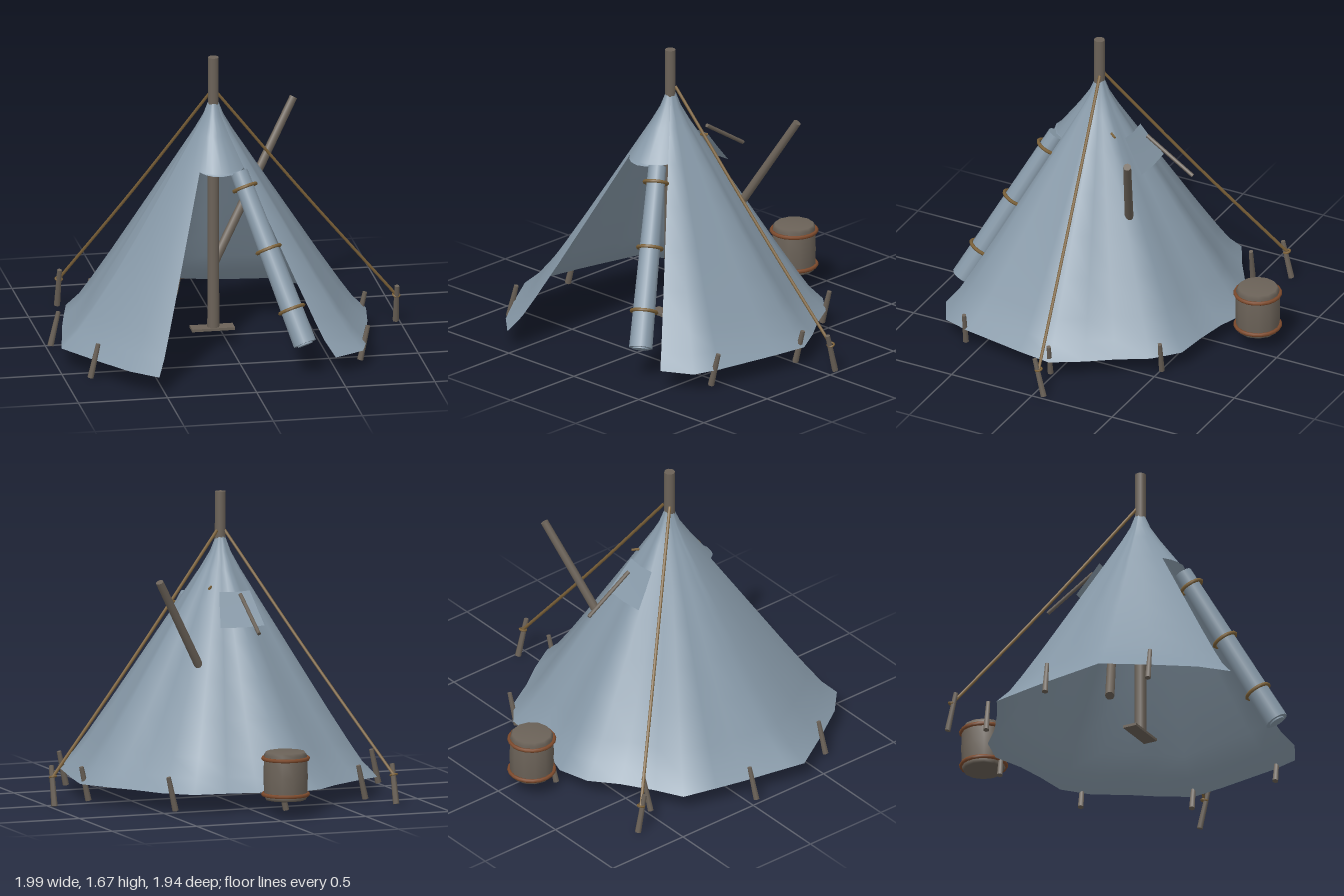
import * as THREE from 'three';

const mat = (name, color, side = THREE.FrontSide) => {
  const m = new THREE.MeshStandardMaterial({ color, side });
  m.name = name;
  return m;
};

export function createModel() {
  const root = new THREE.Group();
  root.name = 'tent';
  const canvas = mat('blue grey canvas', 0x8799a8, THREE.DoubleSide);
  const wood = mat('weathered wood', 0x6b6258);
  const rope = mat('rope', 0x7d6239);
  const rust = mat('rusty hoop', 0x7d4a2c);
  const V = (p) => new THREE.Vector3(...p);
  const UP = new THREE.Vector3(0, 1, 0);

  const add = (name, geo, material, parent = root) => {
    const m = new THREE.Mesh(geo, material);
    m.name = name;
    parent.add(m);
    return m;
  };
  // Round bar from a to b
  const bar = (name, a, b, ra, rb, material, sides = 8) => {
    const A = V(a), B = V(b), d = B.clone().sub(A);
    const m = add(name, new THREE.CylinderGeometry(rb, ra, d.length(), sides), material);
    m.position.copy(A).add(B).multiplyScalar(0.5);
    m.quaternion.setFromUnitVectors(UP, d.normalize());
    return m;
  };
  // Ring around an axis
  const ring = (name, centre, axis, r, tube, material) => {
    const m = add(name, new THREE.TorusGeometry(r, tube, 6, 20), material);
    m.position.copy(V(centre));
    m.quaternion.setFromUnitVectors(new THREE.Vector3(0, 0, 1), V(axis).normalize());
    return m;
  };
  // Grid of rows joined into a sheet
  const sheet = (rows) => {
    const n = rows[0].length, idx = [];
    for (let i = 0; i < rows.length - 1; i++) {
      for (let j = 0; j < n - 1; j++) {
        const a = i * n + j, b = a + n;
        idx.push(a, b, b + 1, a, b + 1, a + 1);
      }
    }
    const g = new THREE.BufferGeometry();
    g.setAttribute('position', new THREE.Float32BufferAttribute(rows.flat(2), 3));
    g.setIndex(idx);
    g.computeVertexNormals();
    return g;
  };

  // Canvas: ground outline [x, z, fold depth] drawn up to the peak
  const apex = [-0.085, 0.145];
  const hem = [
    [0.48, 0.81, 0], [0.65, 0.72, 0], [0.70, 0.56, 0.03], [0.77, 0.2, 0.03], [0.80, 0, 0],
    [0.70, -0.17, 0.03], [0.60, -0.31, 0.04], [0.50, -0.48, 0], [0.36, -0.60, 0],
    [0.17, -0.62, 0.02], [0, -0.65, 0.02], [-0.18, -0.71, 0], [-0.36, -0.66, 0.02],
    [-0.50, -0.54, 0.05], [-0.67, -0.43, 0.02], [-0.82, -0.35, 0], [-0.87, -0.15, 0.03],
    [-0.91, 0.02, 0.03], [-0.94, 0.18, 0], [-0.96, 0.28, 0.07], [-0.98, 0.38, 0.06],
    [-0.83, 0.62, 0.02], [-0.68, 0.84, 0], [-0.54, 0.97, 0],
  ];
  // Each level: drop from the peak and matching spread
  const levels = [[0, 0.025], [0.07, 0.065], [0.14, 0.125], [0.27, 0.25], [0.42, 0.395], [0.57, 0.54],
    [0.72, 0.685], [0.86, 0.825], [0.94, 0.91], [1, 1]];
  const makeRows = (outline, lv) => lv.map(([t, f]) => outline.map(([x, z, fold]) => {
    const s = f * (1 - fold * Math.sin(Math.PI * t));
    return [apex[0] + (x - apex[0]) * s, 1.44 - 1.325 * t, apex[1] + (z - apex[1]) * s];
  }));
  add('canvasWalls', sheet(makeRows(hem, levels)), canvas);

  // Hood over the doorway, with a small flared lip
  const hood = [[-0.54, 0.97, 0], [-0.42, 1.08, 0], [-0.28, 1.13, 0], [-0.08, 1.16, 0],
    [0.14, 1.1, 0], [0.34, 0.97, 0], [0.48, 0.81, 0]];
  const hoodRows = makeRows(hood, levels.slice(0, 4));
  hoodRows.push(hoodRows[3].map(([x, y, z], j) => {
    const k = Math.sin(Math.PI * j / 6);
    return [x, y - 0.012 * k, z + 0.02 * k];
  }));
  add('doorHood', sheet(hoodRows), canvas);

  // Centre pole, its foot and the side strut
  bar('centrePole', [-0.085, 0.1, 0.15], [-0.085, 1.68, 0.15], 0.034, 0.03, wood, 12);
  const foot = add('poleFoot', new THREE.BoxGeometry(0.24, 0.015, 0.08), wood);
  foot.position.set(-0.09, 0.105, 0.15);
  bar('sideStrut', [-0.045, 0.4, -0.065], [0.45, 1.265, -0.305], 0.026, 0.022, wood, 10);

  // Rolled door flap and its ties
  const top = [0.02, 1.075, 0.36], low = [0.31, 0.2, 0.79];
  const axis = low.map((v, i) => v - top[i]);
  bar('rolledDoor', top, low, 0.05, 0.066, canvas, 14);
  bar('rolledDoorCore', top, low.map((v, i) => v + axis[i] * 0.008), 0.035, 0.045, canvas, 12);
  for (const k of [0.09, 0.45, 0.8]) {
    ring('doorTie', top.map((v, i) => v + axis[i] * k), axis, 0.064 + 0.008 * k, 0.01, rope);
  }

  // Smoke vent flap, prop stick and toggle
  add('ventFlap', sheet([
    [[0.0, 1.15, -0.055], [-0.09, 1.145, -0.06], [-0.18, 1.15, -0.055]],
    [[0.02, 1.06, -0.115], [-0.09, 1.05, -0.12], [-0.2, 1.06, -0.115]],
    [[0.04, 0.97, -0.18], [-0.09, 0.965, -0.185], [-0.22, 0.97, -0.18]],
  ]), canvas);
  bar('ventProp', [-0.09, 1.145, -0.145], [-0.09, 0.965, -0.43], 0.011, 0.011, wood);
  bar('ventToggle', [0.02, 1.17, 0.02], [0.045, 1.165, -0.015], 0.007, 0.007, rope, 6);

  // Guy ropes, slightly slack
  for (const end of [[0.975, 0.17, -0.03], [-0.805, 0.17, -0.64]]) {
    const start = [end[0] > 0 ? -0.06 : -0.105, 1.465, 0.135];
    const mid = start.map((v, i) => (v + end[i]) / 2 - (i === 1 ? 0.015 : 0));
    const path = new THREE.CatmullRomCurve3([start, mid, end].map(V));
    add('guyRope', new THREE.TubeGeometry(path, 12, 0.009, 6), rope);
    ring('guyLoop', end, [0.1, 1, 0.3], 0.018, 0.006, rope);
  }
  bar('guyStake', [0.978, 0.01, -0.062], [0.975, 0.23, -0.005], 0.018, 0.014, wood, 6);
  bar('guyStake', [-0.81, 0.01, -0.665], [-0.805, 0.23, -0.615], 0.018, 0.014, wood, 6);

  // Pegs along the hem
  const pegs = [[-0.955, 0.035], [-0.84, 0.62], [-0.675, -0.49], [-0.12, -0.71],
    [0.46, -0.52], [0.68, 0.585], [0.77, 0.01]];
  for (const [x, z] of pegs) {
    bar('hemPeg', [x - 0.023, 0.02, z + 0.006], [x + 0.023, 0.21, z - 0.006], 0.018, 0.013, wood, 6);
  }

  // Barrel with two hoops
  const profile = [[0, 0.1], [0.112, 0.1], [0.12, 0.115], [0.124, 0.23], [0.12, 0.35], [0.108, 0.367], [0, 0.367]];
  const barrel = add('barrel', new THREE.LatheGeometry(
    profile.map(([r, y]) => new THREE.Vector2(r, y)), 12), wood);
  barrel.position.set(-0.09, 0, -0.835);
  for (const y of [0.13, 0.33]) ring('barrelHoop', [-0.09, y, -0.835], [0, 1, 0], 0.125, 0.011, rust);

  return root;
}
